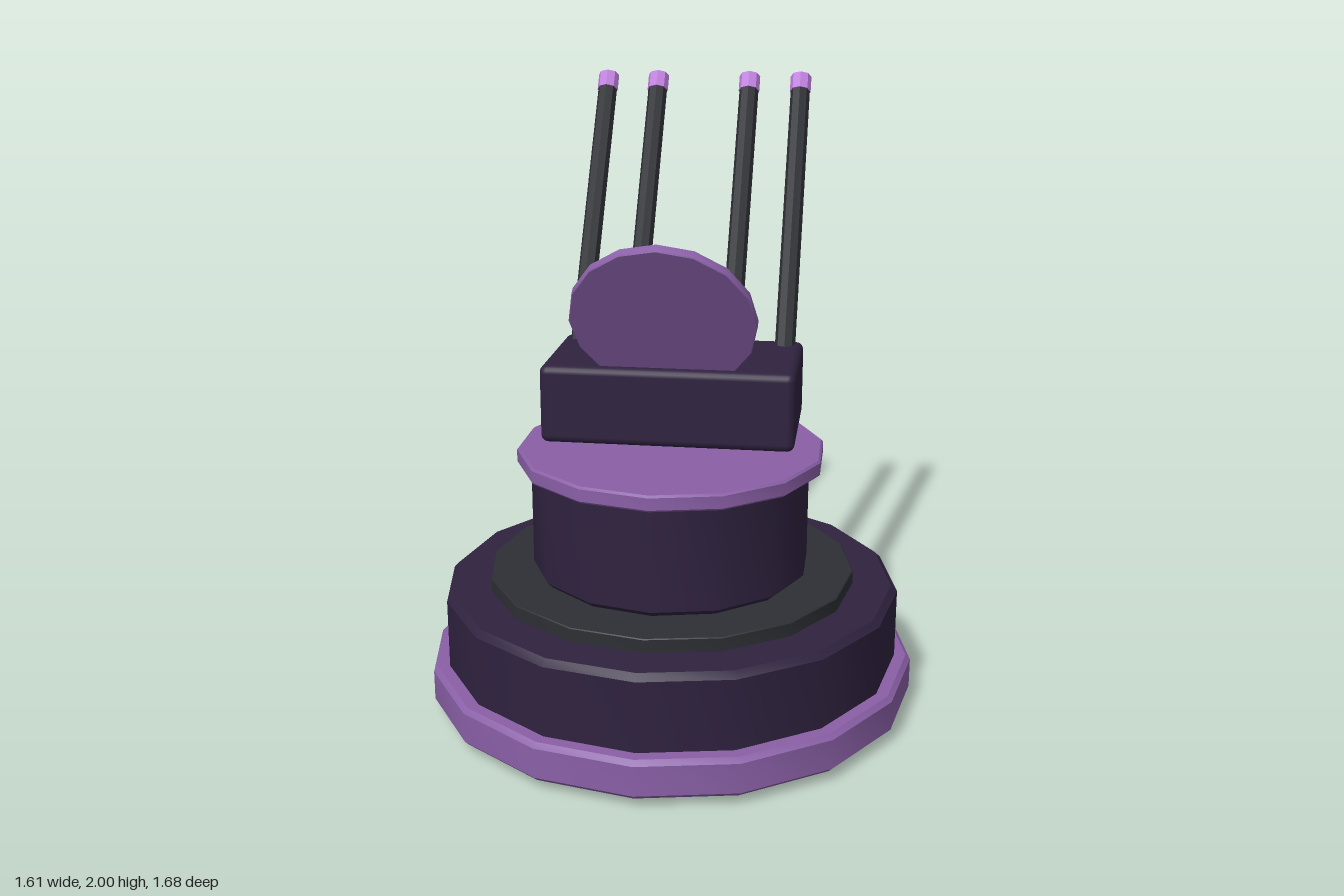
import * as THREE from 'three';
import { toCreasedNormals } from 'three/addons/utils/BufferGeometryUtils.js';
import { RoundedBoxGeometry } from 'three/addons/geometries/RoundedBoxGeometry.js';

const material = (name, color) => {
  const m = new THREE.MeshStandardMaterial({ color });
  m.name = name;
  return m;
};

// Faceted disc with bevelled rims, standing on y = 0
function bevelledDisc(radius, height, bevel, sides) {
  const profile = [
    [0, 0], [radius - bevel, 0], [radius, bevel],
    [radius, height - bevel], [radius - bevel, height], [0, height],
  ].map(([x, y]) => new THREE.Vector2(x, y));
  return toCreasedNormals(new THREE.LatheGeometry(profile, sides), 0.5);
}

export function createModel() {
  const darkPurple = material('dark purple', 0x2f223f);
  const purple = material('purple', 0x8a60a7);
  const charcoal = material('charcoal', 0x2d2f34);
  const lilac = material('lilac', 0xc080de);

  const model = new THREE.Group();
  model.name = 'turret';
  const add = (parent, name, geometry, mat, x = 0, y = 0, z = 0) => {
    const mesh = new THREE.Mesh(geometry, mat);
    mesh.name = name;
    mesh.position.set(x, y, z);
    parent.add(mesh);
    return mesh;
  };

  // Stacked round base: name, radius, bottom, top, bevel, sides, material
  const centreZ = 0.04;
  [
    ['baseDrum', 0.75, 0, 0.405, 0.02, 16, darkPurple],
    ['baseRing', 0.803, 0.03, 0.157, 0.015, 16, purple],
    ['turntable', 0.603, 0.39, 0.45, 0.003, 16, charcoal],
    ['upperDrum', 0.457, 0.45, 0.82, 0.018, 14, darkPurple],
    ['upperPlate', 0.502, 0.81, 0.863, 0.007, 14, purple],
  ].forEach(([name, r, y0, y1, bevel, sides, mat]) =>
    add(model, name, bevelledDisc(r, y1 - y0, bevel, sides), mat, 0, y0, centreZ));

  // Gun housing floating just above the plate
  add(model, 'gunHousing', new RoundedBoxGeometry(0.815, 0.255, 0.45, 2, 0.025),
    darkPurple, 0, 1.017, -0.05);

  // Dish leaning forward out of the housing
  const dishGeometry = bevelledDisc(0.292, 0.034, 0.003, 16);
  dishGeometry.translate(0, -0.017, 0);
  const dish = add(model, 'dish', dishGeometry, purple, 0, 1.318, 0.223);
  dish.rotation.x = -Math.PI / 3;

  // Four barrels leaning backward, each with a bright muzzle
  const barrelLength = 1.08, muzzleLength = 0.06;
  const barrelGeometry = toCreasedNormals(
    new THREE.CylinderGeometry(0.034, 0.034, barrelLength, 8), 0.5);
  const muzzleGeometry = toCreasedNormals(
    new THREE.CylinderGeometry(0.037, 0.037, muzzleLength, 8), 0.5);
  for (const x of [-0.348, -0.165, 0.165, 0.348]) {
    const gun = new THREE.Group();
    gun.name = 'gun';
    gun.position.set(x, 1.979, -0.809);
    gun.rotation.x = -0.613;
    add(gun, 'barrel', barrelGeometry, charcoal, 0, -0.01 - barrelLength / 2, 0);
    add(gun, 'muzzle', muzzleGeometry, lilac, 0, -muzzleLength / 2, 0);
    model.add(gun);
  }
  return model;
}
